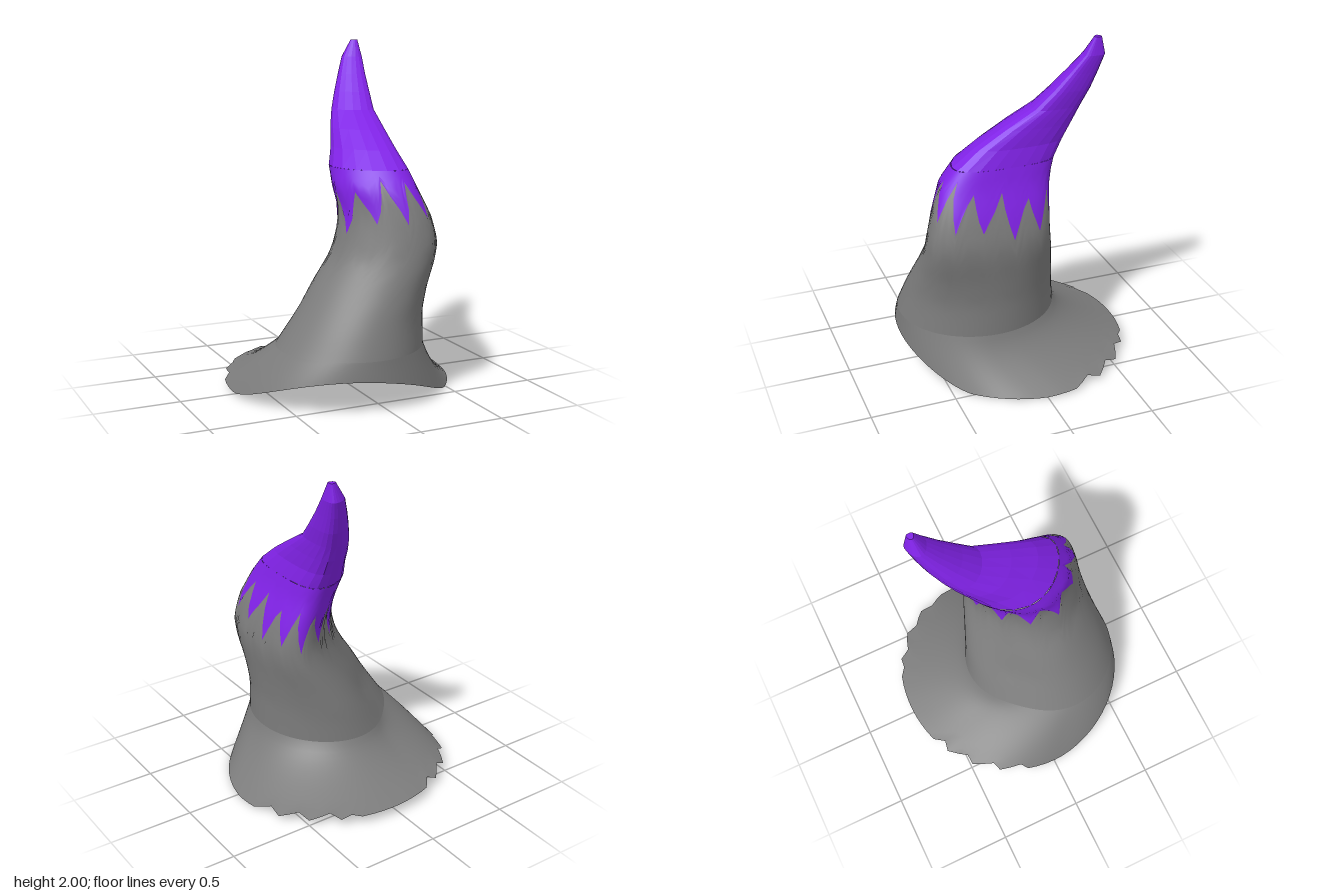
import * as THREE from 'three';

const TEETH = 12, COLS = 72, FOOT = 0.3, TEETH_TOP = 1.3;
const { lerp, clamp, smoothstep } = THREE.MathUtils;

// Cross-sections: y, x min, x max, z min (back), z max (front), push of the back corner at -x
const SECTIONS = [
  [0.3, -0.50, 0.385, -0.29, 0.66, -0.07], [0.5, -0.37, 0.385, -0.26, 0.61, -0.10],
  [0.65, -0.27, 0.40, -0.22, 0.58, -0.07], [0.8, -0.16, 0.42, -0.18, 0.565, -0.04],
  [0.9, -0.125, 0.42, -0.16, 0.56, -0.04], [1.05, -0.09, 0.38, -0.16, 0.53, -0.03],
  [1.2, -0.11, 0.32, -0.18, 0.47, -0.02], [1.3, -0.09, 0.295, -0.21, 0.39, 0],
  [1.4, -0.04, 0.275, -0.26, 0.26, 0], [1.5, 0.0, 0.275, -0.31, 0.10, 0],
  [1.6, 0.05, 0.28, -0.355, -0.07, 0], [1.7, 0.10, 0.295, -0.40, -0.17, 0],
  [1.8, 0.15, 0.305, -0.435, -0.26, 0], [1.92, 0.21, 0.32, -0.47, -0.36, 0],
  [2.0, 0.265, 0.305, -0.44, -0.40, 0],
];

// Cosine lobe pointing in one direction
const lobe = (a, centre, power) => Math.max(0, Math.cos(a - centre)) ** power;

// Point on the horn at angle a (0 = front, 90 degrees = +x) and height y
function hornPoint(a, y) {
  let k = 0;
  while (k < SECTIONS.length - 2 && SECTIONS[k + 1][0] < y) k++;
  const p = SECTIONS[k], q = SECTIONS[k + 1], t = (y - p[0]) / (q[0] - p[0]);
  const [, x0, x1, z0, z1, push] = p.map((v, i) => lerp(v, q[i], t));
  const hx = (x1 - x0) / 2, hz = (z1 - z0) / 2, s = Math.sin(a), c = Math.cos(a);
  const bend = 0.4 * hx * smoothstep(y, 0.4, 1); // one side flatter than the other
  const corner = push * lobe(a, -2.35, 4);
  return new THREE.Vector3((x0 + x1) / 2 + (hx + corner) * s + bend * c * c, y,
    (z0 + z1) / 2 + (hz + corner) * c);
}

// Open lower rim: arched in front, slightly lifted behind
function rimPoint(a) {
  const s = Math.sin(a), c = Math.cos(a);
  const arch = Math.max(0, Math.cos(Math.min(Math.abs(a + 0.31) * 1.3, Math.PI / 2)));
  const y = 0.188 * arch ** 1.4 + 0.055 * Math.max(0, -c) + 0.02 * Math.max(0, -s);
  const r = 0.66 + 0.055 * lobe(a, 2.35, 3) + 0.035 * lobe(a, -0.8, 2)
    + 0.035 * lobe(a, -2.35, 3) - 0.03 * lobe(a, 0.75, 4);
  return new THREE.Vector3(r * s, y, r * c);
}

// Skirt curving from the rim up into the horn; hollow behind and on +x, ragged edge behind
function skirtPoint(a, f, t) {
  const rim = rimPoint(a), top = hornPoint(a, FOOT), c = Math.cos(a);
  if (t === 0) {
    const notch = c < -0.25 && c > -0.93 ? Math.round(f * COLS) % 3 * 0.018 : 0;
    return rim.lerp(top, notch / 0.4);
  }
  const hollow = clamp(0.5 + Math.cos(a - 2.5), 0, 1);
  const ctrl = rim.clone().lerp(top, 0.4 + 0.46 * hollow);
  ctrl.y = lerp(rim.y, FOOT, 0.5);
  return new THREE.QuadraticBezierCurve3(rim, ctrl, top).getPoint(t);
}

// Zigzag height where the two colours meet; f is the fraction of a full turn
function seamHeight(a, f) {
  const n = Math.floor(f * TEETH + 1e-6), zig = Math.abs(2 * (f * TEETH - n) - 1);
  const c = Math.cos(a);
  return 1.05 + 0.06 * c + 0.03 * c * c + (zig - 0.5) * (0.19 + 0.06 * (n % 2));
}

// Closed loops of points joined into a skin
function skin(name, cols, rows, point, material) {
  const pos = [], index = [];
  for (let j = 0; j <= rows; j++) for (let i = 0; i < cols; i++) {
    const f = i / cols, a = ((f + 0.5) % 1 - 0.5) * Math.PI * 2;
    pos.push(...point(a, f, j / rows).toArray());
  }
  for (let j = 0; j < rows; j++) for (let i = 0; i < cols; i++) {
    const a = j * cols + i, b = j * cols + (i + 1) % cols;
    index.push(a, b, b + cols, a, b + cols, a + cols);
  }
  const geo = new THREE.BufferGeometry();
  geo.setAttribute('position', new THREE.Float32BufferAttribute(pos, 3));
  geo.setIndex(index);
  geo.computeVertexNormals();
  const mesh = new THREE.Mesh(geo, material);
  mesh.name = name;
  return mesh;
}

export function createModel() {
  const group = new THREE.Group();
  group.name = 'curvedHorn';
  const grey = new THREE.MeshStandardMaterial({ color: 0x7c7c7c, side: THREE.DoubleSide });
  const purple = new THREE.MeshStandardMaterial({ color: 0x8022e6, side: THREE.DoubleSide });
  const facetedPurple = purple.clone();
  facetedPurple.flatShading = true;

  // Flared skirt and grey column up to the zigzag seam
  group.add(skin('skirt', COLS, 10, skirtPoint, grey));
  const column = (a, f, t) => hornPoint(a, lerp(FOOT, seamHeight(a, f), t));
  group.add(skin('column', COLS, 16, column, grey));

  // Pointed teeth of the coloured part
  const teeth = (a, f, t) => hornPoint(a, lerp(seamHeight(a, f), TEETH_TOP, t));
  group.add(skin('teeth', COLS, 6, teeth, purple));

  // Broadly faceted tip with a blunt end
  const tip = (a, f, t) => hornPoint(a, lerp(TEETH_TOP, 2, t));
  group.add(skin('tip', 20, 7, tip, facetedPurple));
  const end = (a, f, t) => hornPoint(a, 2).lerp(new THREE.Vector3(0.285, 2, -0.42), t);
  group.add(skin('tipEnd', 20, 1, end, facetedPurple));
  return group;
}
